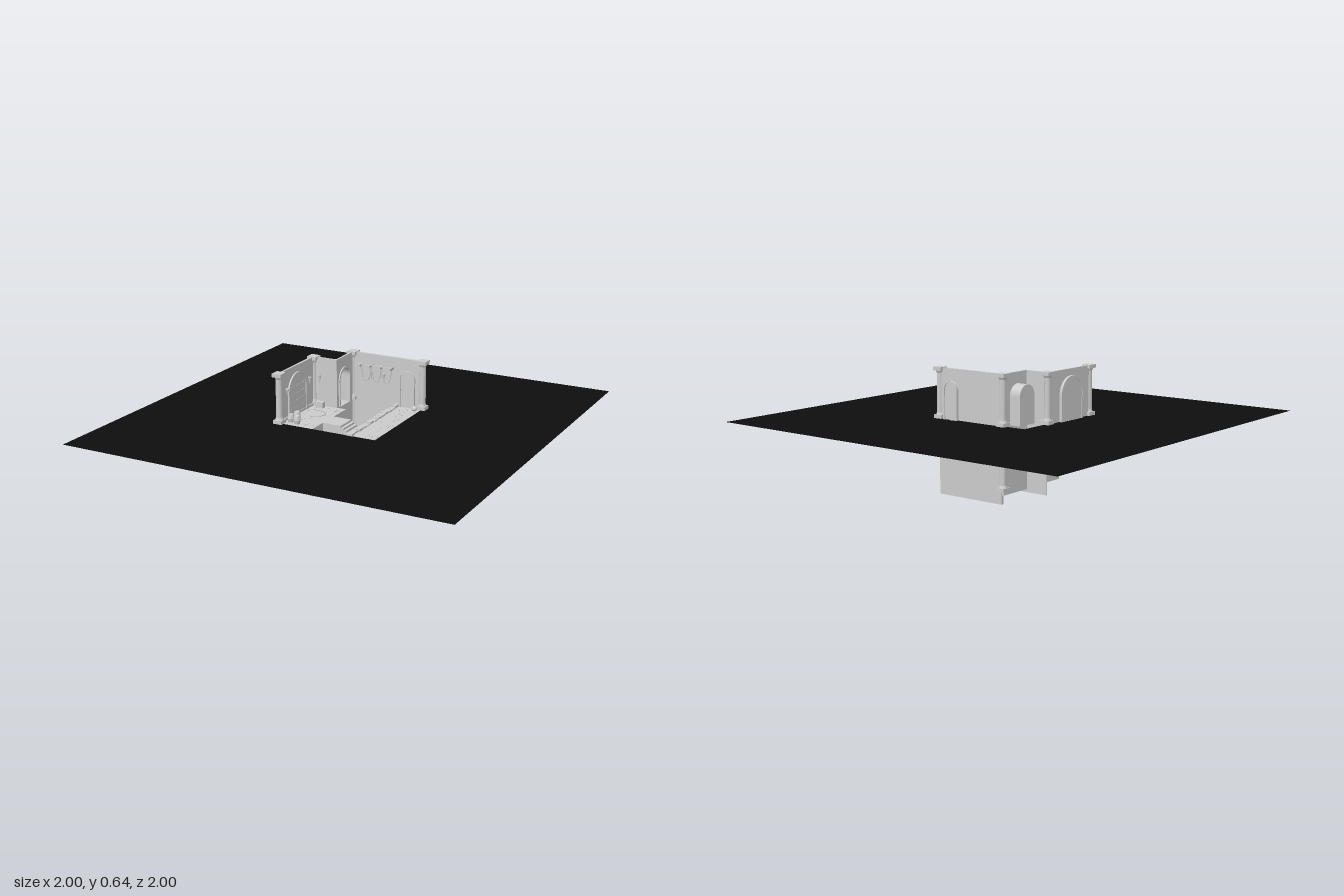
import * as THREE from 'three';

const FLOOR = 0.387, TOP = 0.64;

export function createModel() {
  const root = new THREE.Group();
  root.name = 'dungeonRoom';
  const stone = new THREE.MeshStandardMaterial({ color: 0xcccccc, flatShading: true, side: THREE.DoubleSide });
  const smooth = new THREE.MeshStandardMaterial({ color: 0xcccccc, side: THREE.DoubleSide });
  const black = new THREE.MeshStandardMaterial({ color: 0x0d0d0d, side: THREE.DoubleSide });

  let seed = 7;
  const rand = (a, b) => {
    seed = (seed * 16807) % 2147483647;
    return a + (b - a) * (seed / 2147483647);
  };
  const add = (name, geo, x = 0, y = 0, z = 0, parent = root, mat = stone) => {
    const m = new THREE.Mesh(geo, mat);
    m.name = name;
    m.position.set(x, y, z);
    parent.add(m);
    return m;
  };
  // Box given by its limits on each axis
  const block = (name, x0, x1, y0, y1, z0, z1, parent = root) =>
    add(name, new THREE.BoxGeometry(x1 - x0, y1 - y0, z1 - z0),
      (x0 + x1) / 2, (y0 + y1) / 2, (z0 + z1) / 2, parent);
  const group = (name) => {
    const g = new THREE.Group();
    g.name = name;
    root.add(g);
    return g;
  };
  const tube = (name, pts, r, parent = root) =>
    add(name, new THREE.TubeGeometry(new THREE.CatmullRomCurve3(pts.map((p) => new THREE.Vector3(...p))), 20, r, 5),
      0, 0, 0, parent, smooth);

  // Black ground with a square opening
  const square = (s, P) => new P([[-s, -s], [s, -s], [s, s], [-s, s]].map((p) => new THREE.Vector2(...p)));
  const groundShape = square(1, THREE.Shape);
  groundShape.holes.push(square(0.26, THREE.Path));
  add('ground', new THREE.ShapeGeometry(groundShape).rotateX(-Math.PI / 2), 0, FLOOR, 0, root, black);

  // Floors and stair landing
  block('leftFloor', -0.26, -0.08, FLOOR - 0.004, FLOOR, -0.08, 0.26);
  block('rightFloor', 0.11, 0.26, FLOOR - 0.004, FLOOR, -0.26, 0.26);
  block('landing', -0.08, 0.02, 0.09, FLOOR, 0.045, 0.155);

  // Arch outline standing on the x axis
  const archPath = (w, h, P) => {
    const p = new P(), r = w / 2;
    p.moveTo(-r, 0);
    p.lineTo(r, 0);
    p.lineTo(r, h - r);
    p.absarc(0, h - r, r, 0, Math.PI, false);
    p.lineTo(-r, 0);
    return p;
  };
  const archSolid = (w, h, d) =>
    new THREE.ExtrudeGeometry(archPath(w, h, THREE.Shape), { depth: d, bevelEnabled: false, curveSegments: 10 });
  const archFrame = (w, h, t, d) => {
    const s = archPath(w + 2 * t, h + t, THREE.Shape);
    s.holes.push(archPath(w, h, THREE.Path));
    return new THREE.ExtrudeGeometry(s, { depth: d, bevelEnabled: false, curveSegments: 10 });
  };

  // Walls above and below the floor
  block('backWall', -0.13, 0.26, 0.005, TOP, -0.272, -0.256);
  block('leftWall', -0.274, -0.262, FLOOR, TOP, -0.08, 0.26);
  block('innerWall', -0.265, -0.13, FLOOR, TOP, -0.09, -0.08);
  block('innerWallBase', -0.26, -0.08, 0.035, FLOOR, -0.084, -0.08);
  block('stairwellWall', -0.084, -0.08, 0.035, FLOOR, -0.08, 0.26);
  const side = new THREE.Shape();
  side.moveTo(-0.265, 0.05);
  side.lineTo(-0.08, 0.05);
  side.lineTo(-0.08, TOP);
  side.lineTo(-0.265, TOP);
  const opening = archPath(0.1, 0.19, THREE.Path).getPoints(10).map((p) => new THREE.Vector2(p.x - 0.16, p.y + FLOOR));
  side.holes.push(new THREE.Path(opening));
  const sideWall = add('doorWall', new THREE.ExtrudeGeometry(side, { depth: 0.01, bevelEnabled: false }), -0.13, 0, 0);
  sideWall.rotation.y = -Math.PI / 2;

  // Vaulted alcove behind the doorway
  const alcove = group('alcove');
  alcove.position.set(-0.2, FLOOR, -0.16);
  alcove.rotation.y = Math.PI / 2;
  add('alcoveShell', archFrame(0.1, 0.19, 0.007, 0.07), 0, 0, 0, alcove);
  add('alcoveBack', archSolid(0.112, 0.196, 0.005), 0, 0, 0, alcove);
  add('doorwayTrim', archFrame(0.1, 0.19, 0.01, 0.008), 0, 0, 0.068, alcove);

  // Arched door in the back wall
  add('backDoor', archSolid(0.07, 0.185, 0.03), 0.18, FLOOR, -0.281);
  add('backDoorFrame', archFrame(0.07, 0.185, 0.008, 0.042), 0.18, FLOOR, -0.287);

  // Studded door in the left wall
  const door = group('studdedDoor');
  door.position.set(-0.285, FLOOR, 0.09);
  door.rotation.y = Math.PI / 2;
  add('doorLeaf', archSolid(0.16, 0.21, 0.026), 0, 0, 0, door);
  add('doorFrame', archFrame(0.16, 0.21, 0.01, 0.034), 0, 0, -0.003, door);
  for (let i = 0; i < 6; i++) for (let j = 0; j < 4; j++)
    add('stud', new THREE.SphereGeometry(0.0025, 6, 4), -0.06 + i * 0.024, 0.04 + j * 0.037, 0.026, door);

  // Columns with stepped base and capital; one reaches the lower level
  [[-0.265, 0.257, FLOOR], [-0.265, -0.085, FLOOR], [-0.135, -0.265, 0.07], [0.26, -0.265, FLOOR]].forEach(([x, z, y0]) => {
    const c = group('column');
    c.position.set(x, 0, z);
    add('shaft', new THREE.CylinderGeometry(0.016, 0.017, TOP - y0, 12), 0, (TOP + y0) / 2, 0, c, smooth);
    new Set([y0, FLOOR]).forEach((y) => {
      add('base', new THREE.BoxGeometry(0.046, 0.018, 0.046), 0, y + 0.009, 0, c);
      add('baseRing', new THREE.CylinderGeometry(0.018, 0.022, 0.012, 12), 0, y + 0.024, 0, c);
    });
    add('capital', new THREE.BoxGeometry(0.05, 0.018, 0.05), 0, TOP - 0.006, 0, c);
    add('capitalRing', new THREE.CylinderGeometry(0.023, 0.017, 0.012, 12), 0, TOP - 0.021, 0, c);
  });

  // Stair flights drawn as side profiles running along +x
  const flight = (name, n, run, drop, bottom, width) => {
    const s = new THREE.Shape();
    s.moveTo(0, 0);
    for (let i = 0; i < n; i++) {
      s.lineTo((i / n) * run, -((i + 1) / n) * drop);
      s.lineTo(((i + 1) / n) * run, -((i + 1) / n) * drop);
    }
    bottom.forEach((p) => s.lineTo(...p));
    return add(name, new THREE.ExtrudeGeometry(s, { depth: width, bevelEnabled: false }));
  };
  const short = flight('shortStairs', 7, 0.11, 0.07, [[0.11, -0.257], [0, -0.257]], 0.11);
  short.position.set(0.02, FLOOR, 0.045);
  const long = flight('longStairs', 10, 0.175, 0.135, [[0.145, -0.177], [0, -0.177]], 0.1);
  long.position.set(-0.08, FLOOR, 0.045);
  long.rotation.y = Math.PI / 2;
  long.position.x = -0.08;

  // Kerb stones along the stairwell
  const kerb = group('kerb');
  for (let i = 0; i < 13; i++) {
    const z = -0.25 + i * 0.04, w = rand(0.012, 0.019);
    block('kerbStone', 0.125 - w, 0.125 + w * 0.8, FLOOR - 0.012, FLOOR + rand(0.004, 0.012), z, z + 0.034, kerb);
  }
  // Skirting and loose flagstones
  block('backSkirting', 0.11, 0.25, FLOOR, FLOOR + 0.012, -0.257, -0.25);
  block('leftSkirting', -0.262, -0.256, FLOOR, FLOOR + 0.012, -0.08, 0.25);
  const slabs = group('flagstones');
  for (let i = 0; i < 44; i++) {
    const left = i % 2, x = left ? rand(-0.25, -0.09) : rand(0.15, 0.25), z = left ? rand(-0.06, 0.25) : rand(-0.23, 0.25);
    const s = add('flagstone', new THREE.CylinderGeometry(0.006, 0.008, 0.005, 5), x, FLOOR + 0.002, z, slabs);
    s.scale.set(rand(0.5, 1.6), 1, rand(0.4, 1.1));
    s.rotation.y = rand(0, 3);
  }

  // Hanging rail with pegs and draped chains
  const rail = group('chainRail');
  block('rail', -0.1, 0.1, 0.583, 0.59, -0.238, -0.231, rail);
  for (let i = 0; i < 4; i++) {
    const x = -0.075 + i * 0.058;
    block('peg', x - 0.004, x + 0.004, 0.578, 0.59, -0.257, -0.212, rail);
    if (i < 3) tube('drapedChain', [[x, 0.58, -0.236], [x + 0.012, 0.52, -0.24], [x + 0.03, 0.5, -0.24],
      [x + 0.046, 0.52, -0.24], [x + 0.058, 0.58, -0.236]], 0.0025, rail);
  }

  // Wall torches
  [[-0.225, -0.073], [-0.02, -0.248], [0.05, -0.248], [-0.252, 0.2], [-0.252, -0.02]].forEach(([x, z]) => {
    const t = group('torch');
    t.position.set(x, 0.525, z);
    add('torchBody', new THREE.ConeGeometry(0.007, 0.04, 8).rotateX(Math.PI), 0, 0, 0, t);
    add('torchRim', new THREE.CylinderGeometry(0.01, 0.008, 0.008, 8), 0, 0.02, 0, t);
  });

  // Barrels, pot, crate and rope
  const barrel = new THREE.LatheGeometry(
    [[0, 0], [0.014, 0], [0.018, 0.02], [0.014, 0.04], [0.011, 0.037], [0, 0.037]].map((p) => new THREE.Vector2(...p)), 12);
  [[-0.22, 0.165], [-0.225, 0.215], [-0.185, 0.225]].forEach(([x, z]) => add('barrel', barrel, x, FLOOR, z));
  add('pot', new THREE.SphereGeometry(0.014, 12, 8), 0.235, FLOOR + 0.011, -0.225, root, smooth);
  block('crate', -0.235, -0.19, FLOOR, FLOOR + 0.03, -0.065, -0.04);
  tube('rope', [[-0.22, FLOOR + 0.004, 0], [-0.16, FLOOR + 0.004, 0.01], [-0.125, FLOOR + 0.004, 0.05],
    [-0.15, FLOOR + 0.004, 0.09], [-0.19, FLOOR + 0.004, 0.1]], 0.003);
  return root;
}
